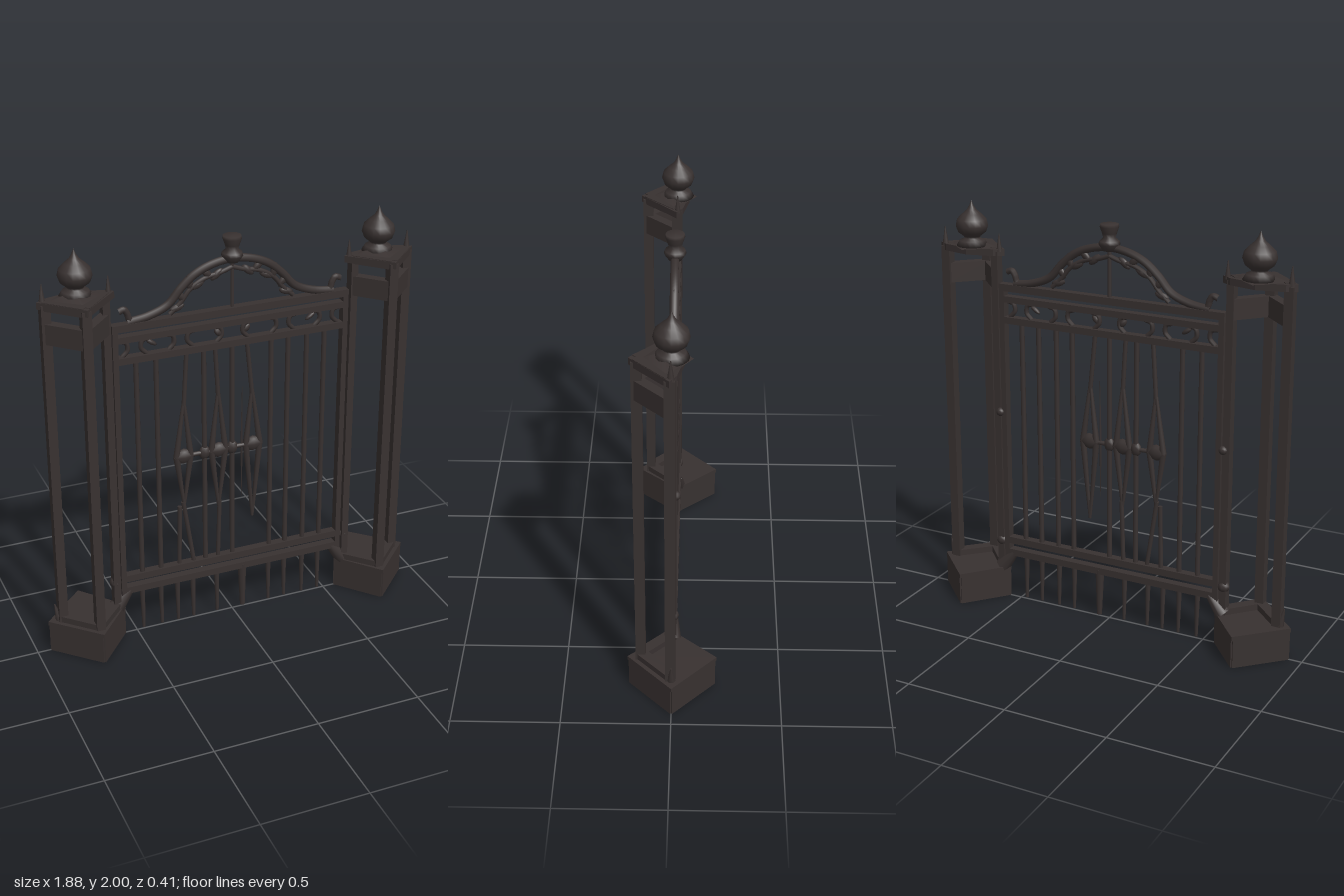
import * as THREE from 'three';

const iron = new THREE.MeshStandardMaterial({ color: 0x383130 });
iron.name = 'dark iron';
const ironSheet = new THREE.MeshStandardMaterial({ color: 0x383130, side: THREE.DoubleSide });
ironSheet.name = 'dark iron sheet';

const V = (x, y, z = 0) => new THREE.Vector3(x, y, z);

function add(parent, name, geometry, x = 0, y = 0, z = 0, material = iron) {
  const mesh = new THREE.Mesh(geometry, material);
  mesh.name = name;
  mesh.position.set(x, y, z);
  parent.add(mesh);
  return mesh;
}

const box = (parent, name, w, h, d, x, y, z = 0) =>
  add(parent, name, new THREE.BoxGeometry(w, h, d), x, y, z);

// Round tapered rod from a to b
function rod(parent, name, a, b, ra, rb = ra, sides = 8) {
  const dir = b.clone().sub(a);
  const mesh = add(parent, name, new THREE.CylinderGeometry(rb, ra, dir.length(), sides));
  mesh.position.copy(a).addScaledVector(dir, 0.5);
  mesh.quaternion.setFromUnitVectors(V(0, 1, 0), dir.normalize());
  return mesh;
}

// Smooth tube through [x, y] points in the plane of the gate
function tube(parent, name, points, r) {
  const curve = new THREE.CatmullRomCurve3(points.map(([x, y]) => V(x, y)));
  return add(parent, name, new THREE.TubeGeometry(curve, points.length * 6, r, 7));
}

function leaf(parent, x, y, length, width, angle) {
  const mesh = add(parent, 'leaf', new THREE.SphereGeometry(1, 8, 6), x, y);
  mesh.scale.set(length / 2, width / 2, 0.012);
  mesh.rotation.z = angle;
}

// Flat outline [x, z] raised from y0 to y1
function slab(parent, name, outline, y0, y1) {
  const shape = new THREE.Shape(outline.map(([x, z]) => new THREE.Vector2(x, -z)));
  const geo = new THREE.ExtrudeGeometry(shape, { depth: y1 - y0, bevelEnabled: false });
  geo.rotateX(-Math.PI / 2);
  return add(parent, name, geo, 0, y0);
}

// Upright plate on the line between two [x, z] points
function plate(parent, name, a, b, y0, y1, thick) {
  const dx = b[0] - a[0], dz = b[1] - a[1];
  const mesh = box(parent, name, Math.hypot(dx, dz), y1 - y0, thick,
    (a[0] + b[0]) / 2, (y0 + y1) / 2, (a[1] + b[1]) / 2);
  mesh.rotation.y = -Math.atan2(dz, dx);
}

function createPillar(side) {
  const g = new THREE.Group();
  g.name = side > 0 ? 'leftPillar' : 'rightPillar';
  const X = (x) => x * side;

  // Diamond plinth, hollow underneath
  const corners = [[X(0.94), 0], [X(0.73), 0.205], [X(0.555), 0], [X(0.73), -0.205]];
  slab(g, 'plinthTop', corners, 0.14, 0.16);
  corners.forEach((c, i) => {
    const n = corners[(i + 1) % 4];
    const inward = ([x, z]) => [X(0.745) + (x - X(0.745)) * 0.95, z * 0.95];
    plate(g, 'plinthWall', inward(c), inward(n), 0, 0.16, 0.014);
  });

  // Three posts, and the bands joining them along the front
  const outer = [X(0.87), 0.005], front = [X(0.73), 0.143], inner = [X(0.6), 0.005];
  for (const [x, z] of [outer, front, inner])
    box(g, 'post', x === inner[0] ? 0.034 : 0.043, 1.62, 0.046, x, 0.96, z);
  for (const end of [outer, inner]) {
    plate(g, 'footBand', end, front, 0.155, 0.19, 0.05);
    plate(g, 'lowerBand', end, front, 1.59, 1.685, 0.045);
    plate(g, 'upperBand', end, front, 1.745, 1.785, 0.045);
  }
  slab(g, 'capPlate', [[X(0.905), 0.005], [X(0.73), 0.175], [X(0.555), 0.005],
    [X(0.6), -0.025], [X(0.73), -0.055], [X(0.86), -0.025]], 1.75, 1.782);

  // Pitched roof of the cap
  const roof = add(g, 'capRoof', new THREE.ConeGeometry(0.11, 0.035, 4), X(0.73), 1.797, 0.02);
  roof.scale.x = 1.3;

  // Onion finial
  const profile = [[0, 1.78], [0.075, 1.785], [0.06, 1.81], [0.036, 1.82], [0.04, 1.83], [0.066, 1.85],
    [0.077, 1.88], [0.07, 1.91], [0.045, 1.935], [0.022, 1.955], [0.01, 1.975], [0, 2]]
    .map(([r, y]) => new THREE.Vector2(r, y));
  add(g, 'onionFinial', new THREE.LatheGeometry(profile, 16), X(0.727));

  // Corner spikes
  rod(g, 'capSpike', V(X(0.877), 1.77), V(X(0.877), 1.86), 0.016, 0.002, 6);
  rod(g, 'capSpike', V(X(0.58), 1.77), V(X(0.58), 1.855), 0.014, 0.002, 6);
  rod(g, 'footSpike', V(X(0.885), 0.16), V(X(0.905), 0.25), 0.02, 0.003, 6);
  return g;
}

// Hollow lozenge of four tapering strands around a hub
function createLozenge(x, top, bottom, lean) {
  const g = new THREE.Group();
  g.name = 'lozenge';
  for (const s of [-1, 1]) {
    const mid = V(x + s * 0.035, 0.905);
    rod(g, 'upperStrand', mid, V(x + lean, top), 0.016, 0.007);
    rod(g, 'lowerStrand', mid, V(x, bottom), 0.016, 0.007);
  }
  const hub = add(g, 'hub', new THREE.OctahedronGeometry(1, 1), x, 0.905);
  hub.scale.set(0.052, 0.04, 0.022);
  return g;
}

function createGate() {
  const g = new THREE.Group();
  g.name = 'gate';

  // Frame
  for (const s of [-1, 1]) {
    box(g, 'stile', 0.026, 1.4, 0.04, s * 0.563, 0.92);
    rod(g, 'railFoot', V(s * 0.53, 0.245), V(s * 0.6, 0.16), 0.022, 0.04);
    add(g, 'hinge', new THREE.SphereGeometry(0.022, 8, 6), s * 0.585, 0.98, -0.015);
    add(g, 'lowerHinge', new THREE.SphereGeometry(0.03, 8, 6), s * 0.6, 0.3);
  }
  for (const [y, h] of [[1.603, 0.034], [1.547, 0.03], [1.445, 0.032], [0.312, 0.034], [0.247, 0.034]])
    box(g, 'rail', 1.14, h, 0.04, 0, y);

  // Upright bars and the pickets under the rail
  for (const x of [-0.465, -0.37, -0.14, 0, 0.195, 0.28, 0.375, 0.465])
    rod(g, 'bar', V(x, 0.31), V(x, 1.45), 0.0125);
  for (const x of [-0.465, -0.37, -0.285, -0.205, -0.08, 0.055, 0.195, 0.28, 0.378, 0.465])
    rod(g, 'picket', V(x, 0.01), V(x - 0.003, 0.25), x === 0.055 ? 0.013 : 0.008, x === 0.055 ? 0.023 : 0.014);

  // Central lozenges with their hangers and link
  const lozenges = new THREE.Group();
  lozenges.name = 'lozenges';
  g.add(lozenges);
  lozenges.add(createLozenge(-0.245, 1.2, 0.64, 0.005), createLozenge(-0.07, 1.22, 0.6, 0),
    createLozenge(0.105, 1.2, 0.51, -0.005));
  for (const [x0, y0, x1, y1] of [[-0.24, 1.17, -0.222, 1.45], [-0.07, 1.19, -0.085, 1.45],
    [0.1, 1.17, 0.072, 1.45], [-0.2, 0.32, -0.25, 0.66], [-0.275, 0.32, -0.268, 0.64], [-0.075, 0.32, -0.065, 0.63]])
    rod(lozenges, 'hanger', V(x0, y0), V(x1, y1), 0.011);
  rod(lozenges, 'link', V(-0.29, 0.905), V(0.145, 0.905), 0.011);
  rod(lozenges, 'needle', V(0.048, 0.91), V(0.05, 1.21), 0.006, 0.001, 5);
  rod(lozenges, 'needle', V(0.048, 0.91), V(0.048, 0.63), 0.006, 0.001, 5);
  for (const x of [-0.14, 0]) {
    const knot = add(lozenges, 'knot', new THREE.SphereGeometry(1, 8, 6), x, 0.905);
    knot.scale.set(0.028, 0.035, 0.02);
  }

  // Curled leaves between the upper rails
  for (const s of [-1, 1]) {
    for (const [x, d] of [[0.52, 1], [0.42, -1], [0.3, 1], [0.2, -1], [0.07, 1]])
      tube(g, 'scroll', [[s * (x + 0.018 * d), 1.535], [s * (x - 0.012 * d), 1.525],
        [s * (x - 0.018 * d), 1.49], [s * (x + 0.008 * d), 1.46]], 0.011);
    leaf(g, s * 0.39, 1.51, 0.06, 0.022, s * 0.6);
    leaf(g, s * 0.07, 1.505, 0.05, 0.03, s * 0.9);
  }
  return g;
}

function createCrest() {
  const g = new THREE.Group();
  g.name = 'crest';

  // Bell-shaped arch
  const half = [[0.5, 1.622], [0.4, 1.638], [0.31, 1.675], [0.245, 1.745], [0.18, 1.8], [0.1, 1.835]];
  tube(g, 'arch', [...half.map(([x, y]) => [-x, y]), [0, 1.85], ...half.slice().reverse()], 0.019);

  for (const s of [-1, 1]) {
    // End hook
    tube(g, 'hook', [[s * 0.43, 1.628], [s * 0.485, 1.632], [s * 0.498, 1.665], [s * 0.513, 1.685],
      [s * 0.538, 1.678]], 0.015);
    // Inner vine and its leaves
    tube(g, 'vine', [[s * 0.3, 1.63], [s * 0.25, 1.675], [s * 0.2, 1.735], [s * 0.13, 1.775],
      [s * 0.06, 1.79], [0, 1.81]], 0.011);
    for (const [x, y, a] of [[0.25, 1.71, 0.9], [0.265, 1.655, -0.3], [0.205, 1.765, 1.4],
      [0.165, 1.75, -0.5], [0.125, 1.8, 0.8], [0.075, 1.785, -0.7]])
      leaf(g, s * x, y, 0.075, 0.034, s * a);
  }

  // Stem and crown
  rod(g, 'stem', V(0, 1.6), V(0, 1.86), 0.009);
  const profile = [[0, 1.83], [0.03, 1.835], [0.05, 1.865], [0.046, 1.88], [0.028, 1.895], [0.034, 1.915],
    [0.044, 1.945], [0.042, 1.958], [0, 1.96]].map(([r, y]) => new THREE.Vector2(r, y));
  add(g, 'crown', new THREE.LatheGeometry(profile, 12));
  return g;
}

export function createModel() {
  const model = new THREE.Group();
  model.name = 'ironGate';
  model.add(createPillar(1), createPillar(-1), createGate(), createCrest());
  // Extruded pieces may be mirrored, so they show from both sides
  model.traverse((o) => {
    if (o.name === 'plinthTop' || o.name === 'capPlate') o.material = ironSheet;
  });
  return model;
}
